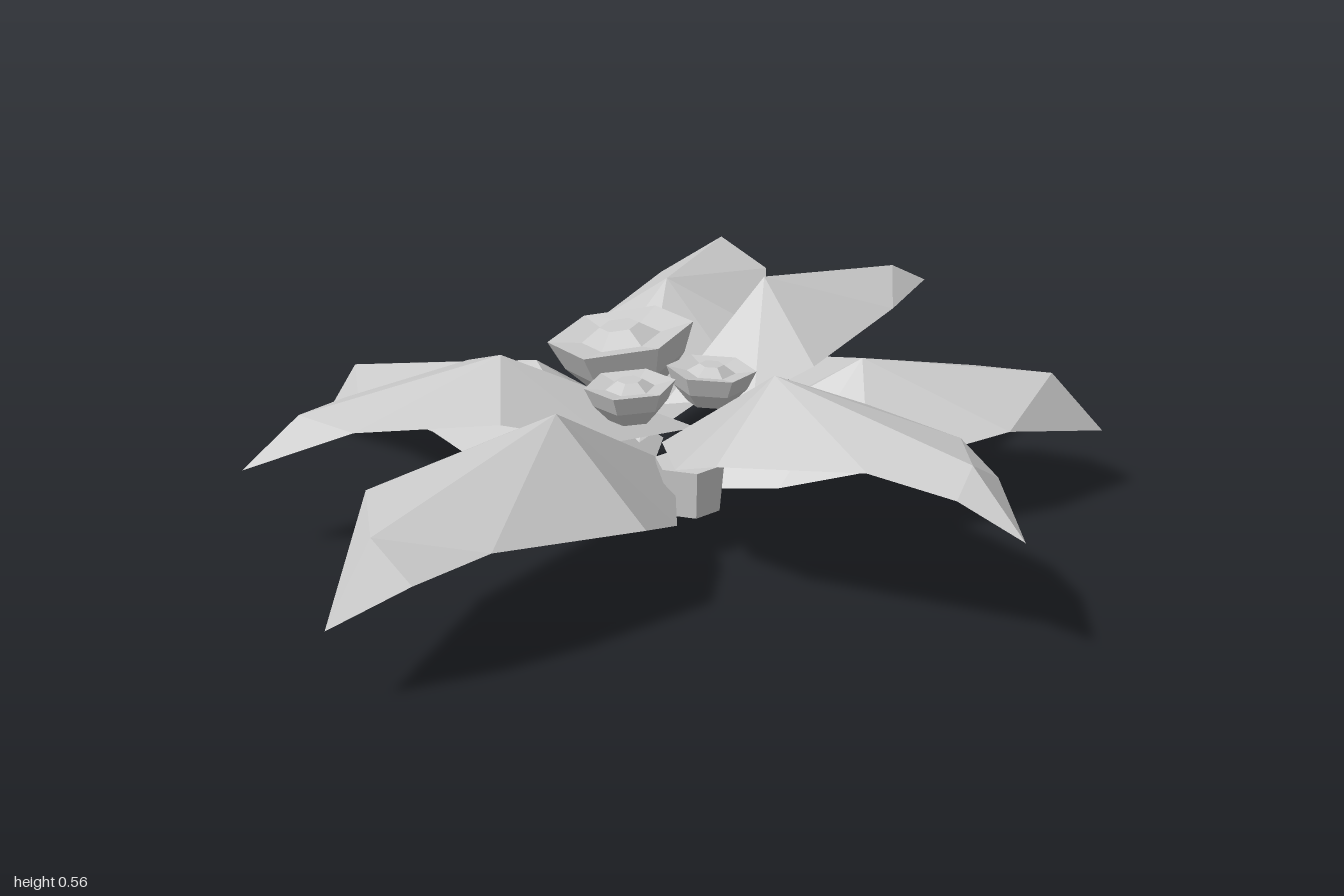
import * as THREE from 'three';

const mat = new THREE.MeshStandardMaterial({ color: 0xcccccc, flatShading: true, side: THREE.DoubleSide });

// Folded petal: a spine (base, centre, ridge, tip) with two edges running base to tip.
// Faces fan from the centre as far as the shoulder (third edge point), then from the ridge.
function petal(name, [base, centre, ridge, tip], left, right) {
  const pos = [];
  const side = (edge, flip) => {
    const fan = (hub, rim) => {
      for (let i = 0; i < rim.length - 1; i++) {
        const [b, c] = flip ? [rim[i + 1], rim[i]] : [rim[i], rim[i + 1]];
        pos.push(...hub, ...b, ...c);
      }
    };
    fan(centre, [base, ...edge.slice(0, 3), ridge]);
    fan(ridge, [...edge.slice(2), tip]);
  };
  side(left, true);
  side(right, false);
  const geo = new THREE.BufferGeometry();
  geo.setAttribute('position', new THREE.Float32BufferAttribute(pos, 3));
  geo.computeVertexNormals();
  const mesh = new THREE.Mesh(geo, mat);
  mesh.name = name;
  return mesh;
}

// Six-sided flower cup: flared wall, sloping ring and a raised bud
function cup(name, x, y, z, r, tilt, turn) {
  const profile = [[0, -0.8], [0.5, -0.78], [0.82, -0.42], [1, 0], [0.54, -0.08], [0.27, 0.1], [0, 0.1]]
    .map(([a, b]) => new THREE.Vector2(a * r, b * r));
  const mesh = new THREE.Mesh(new THREE.LatheGeometry(profile, 6), mat);
  mesh.name = name;
  mesh.position.set(x, y, z);
  mesh.rotation.set(0, turn, tilt, 'ZYX');
  return mesh;
}

export function createModel() {
  const group = new THREE.Group();
  group.name = 'flower';

  // Large petals
  group.add(
    petal('rightPetal',
      [[0.02, 0.23, 0], [-0.42, 0.43, -0.02], [-0.87, 0.33, 0], [-1, 0.21, 0]],
      [[-0.2, 0.26, 0.13], [-0.45, 0.34, 0.18], [-0.76, 0.32, 0.11]],
      [[-0.2, 0.28, -0.17], [-0.47, 0.35, -0.23], [-0.76, 0.32, -0.12]]),
    petal('frontRightPetal',
      [[-0.04, 0.16, 0.04], [-0.35, 0.41, 0.32], [-0.77, 0.33, 0.7], [-0.87, 0.18, 0.78]],
      [[-0.1, 0.15, 0.36], [-0.2, 0.22, 0.53], [-0.54, 0.28, 0.71], [-0.7, 0.25, 0.765]],
      [[-0.25, 0.22, 0.05], [-0.43, 0.31, 0.15], [-0.76, 0.33, 0.46]]),
    petal('frontLeftPetal',
      [[-0.06, 0.2, 0], [0.11, 0.475, 0.36], [0.4, 0.42, 0.8], [0.48, 0.29, 0.9]],
      [[0.18, 0.3, 0.1], [0.34, 0.36, 0.27], [0.45, 0.39, 0.58], [0.48, 0.36, 0.73]],
      [[-0.1, 0.27, 0.34], [-0.05, 0.34, 0.51], [0.2, 0.4, 0.75], [0.36, 0.36, 0.83]]),
    petal('leftPetal',
      [[-0.15, 0.1, 0.02], [0.4, 0.38, 0.03], [0.86, 0.31, 0.03], [0.99, 0.16, 0.04]],
      [[0.1, 0.14, -0.17], [0.38, 0.29, -0.25], [0.73, 0.28, -0.14], [0.86, 0.26, -0.06]],
      [[0.17, 0.14, 0.18], [0.35, 0.2, 0.27], [0.7, 0.24, 0.2]]),
    petal('backLeftPetal',
      [[-0.12, 0.22, 0.04], [0.03, 0.47, -0.38], [0.26, 0.44, -0.8], [0.33, 0.32, -0.9]],
      [[-0.2, 0.27, -0.2], [-0.12, 0.33, -0.51], [0.09, 0.37, -0.75], [0.2, 0.37, -0.84]],
      [[0.15, 0.29, -0.16], [0.26, 0.34, -0.31], [0.33, 0.41, -0.6]]),
    petal('backRightPetal',
      [[-0.16, 0.09, 0.17], [-0.3, 0.31, -0.31], [-0.7, 0.18, -0.74], [-0.78, 0, -0.83]],
      [[-0.4, 0.12, 0], [-0.56, 0.19, -0.2], [-0.71, 0.17, -0.5], [-0.77, 0.1, -0.66]],
      [[0, 0.1, -0.28], [-0.15, 0.17, -0.48], [-0.46, 0.18, -0.71]]),
    // Smaller raised petal
    petal('upperPetal',
      [[-0.06, 0.3, 0.02], [0.19, 0.56, -0.06], [0.53, 0.53, -0.18], [0.62, 0.48, -0.21]],
      [[0.08, 0.36, -0.13], [0.2, 0.43, -0.22], [0.42, 0.47, -0.25], [0.54, 0.48, -0.24]],
      [[0.13, 0.33, 0.1], [0.27, 0.39, 0.09], [0.5, 0.46, -0.07]]),
  );

  // Central cluster of cups
  group.add(
    cup('largeCup', -0.15, 0.465, -0.02, 0.165, 0.14, 0.35),
    cup('leftCup', 0.03, 0.41, 0.11, 0.1, -0.05, 0.25),
    cup('rightCup', -0.17, 0.42, 0.2, 0.1, 0.04, 0.5),
  );

  // Short stub under the cups
  const stem = new THREE.Mesh(new THREE.CylinderGeometry(0.08, 0.07, 0.11, 6), mat);
  stem.name = 'stem';
  stem.position.set(-0.03, 0.16, 0.16);
  group.add(stem);

  return group;
}
